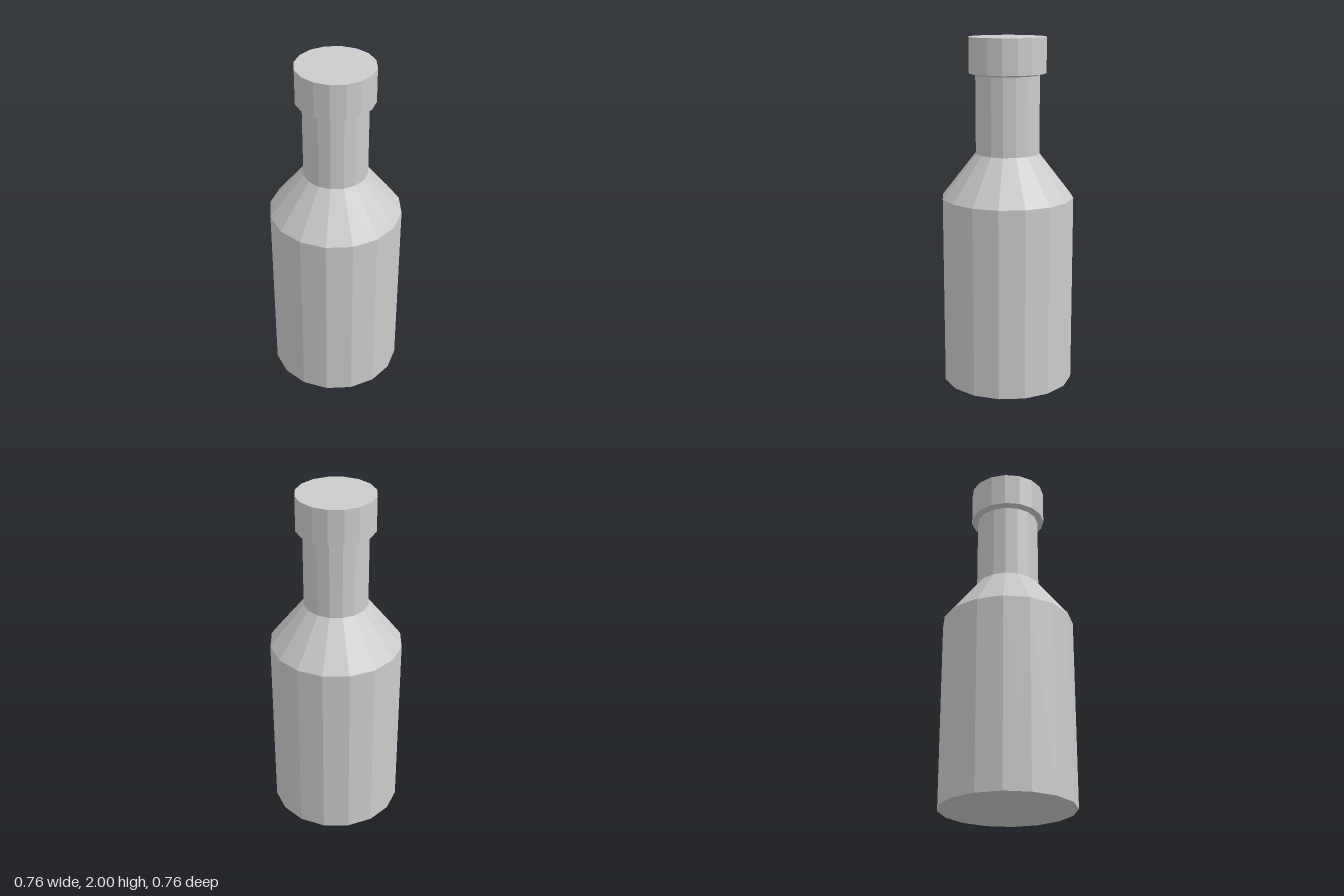
import * as THREE from 'three';

const SIDES = 16;

// Faceted turned part from a [radius, height] profile, listed bottom to top
function turned(name, profile, material) {
  const points = profile.map(([r, y]) => new THREE.Vector2(r, y));
  const mesh = new THREE.Mesh(new THREE.LatheGeometry(points, SIDES), material);
  mesh.name = name;
  return mesh;
}

export function createModel() {
  const group = new THREE.Group();
  group.name = 'bottle';
  const material = new THREE.MeshStandardMaterial({ color: 0xcccccc, flatShading: true });

  group.add(
    // closed base and straight wall
    turned('body', [[0, 0], [0.38, 0], [0.38, 1.095]], material),
    // sloping shoulder
    turned('shoulder', [[0.38, 1.095], [0.183, 1.347]], material),
    // straight neck
    turned('neck', [[0.183, 1.347], [0.183, 1.79]], material),
    // wider cap with a slightly sloped underside and a flat top
    turned('cap', [[0.183, 1.79], [0.22, 1.8], [0.22, 2], [0, 2]], material),
  );
  return group;
}
